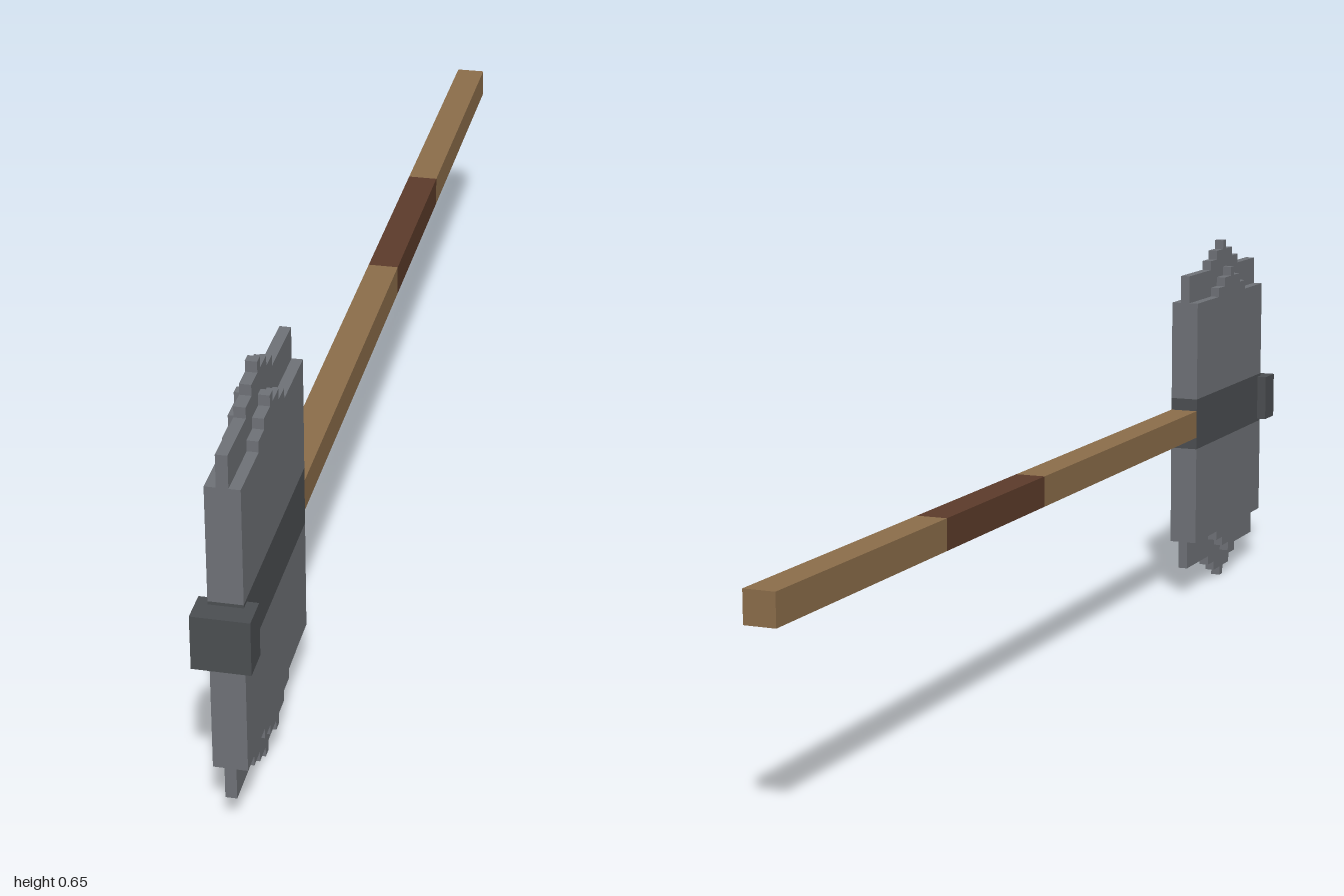
import * as THREE from 'three';

const material = (name, color) => {
  const m = new THREE.MeshStandardMaterial({ color });
  m.name = name;
  return m;
};

const MID_Y = 0.326;                 // height of the handle axis
const BACK = 0.602, FRONT = 0.967;   // head extent along z
const TIP_Z = 0.793;                 // centre of the stepped edge
const STEPS = [0.075, 0.0425, 0.008]; // half widths of the steps
const RISE = 0.0167;

export function createModel() {
  const steel = material('steel', 0x6e7176);
  const darkSteel = material('dark steel', 0x4b4e51);
  const wood = material('wood', 0x8b6d4a);
  const leather = material('grip leather', 0x5c3b2a);
  const group = new THREE.Group();

  function box(name, w, h, z0, z1, mat) {
    const mesh = new THREE.Mesh(new THREE.BoxGeometry(w, h, z1 - z0), mat);
    mesh.position.set(0, MID_Y, (z0 + z1) / 2);
    mesh.name = name;
    group.add(mesh);
  }

  // Plate with a stepped outer edge; side is +1 for the top and -1 for the bottom
  function steppedPlate(name, side, inner, outer, width) {
    const pts = [[BACK, inner], [FRONT, inner], [FRONT, outer]];
    STEPS.forEach((s, i) => pts.push(
      [TIP_Z + s, outer + i * RISE], [TIP_Z + s, outer + (i + 1) * RISE]));
    [...STEPS].reverse().forEach((s, i) => pts.push(
      [TIP_Z - s, outer + (3 - i) * RISE], [TIP_Z - s, outer + (2 - i) * RISE]));
    pts.push([BACK, outer]);
    const shape = new THREE.Shape(pts.map(([z, y]) => new THREE.Vector2(z, MID_Y + side * y)));
    const geometry = new THREE.ExtrudeGeometry(shape, { depth: width, bevelEnabled: false });
    geometry.translate(0, 0, -width / 2);
    geometry.rotateY(-Math.PI / 2);
    const mesh = new THREE.Mesh(geometry, steel);
    mesh.name = name;
    group.add(mesh);
  }

  // Handle with a wrapped grip
  box('rearHandle', 0.05, 0.05, -1, -0.477, wood);
  box('grip', 0.05, 0.05, -0.477, -0.11, leather);
  box('frontHandle', 0.05, 0.05, -0.11, BACK, wood);

  // Head: central band, thick cheeks and thin cutting edges
  box('headBand', 0.05, 0.094, BACK, FRONT, darkSteel);
  for (const [label, side] of [['upper', 1], ['lower', -1]]) {
    steppedPlate(label + 'Cheek', side, 0.047, 0.226, 0.05);
    steppedPlate(label + 'Blade', side, 0.2, 0.276, 0.017);
  }

  // Cap on the front of the head
  box('frontCap', 0.084, 0.084, 0.95, 1, darkSteel);
  return group;
}
